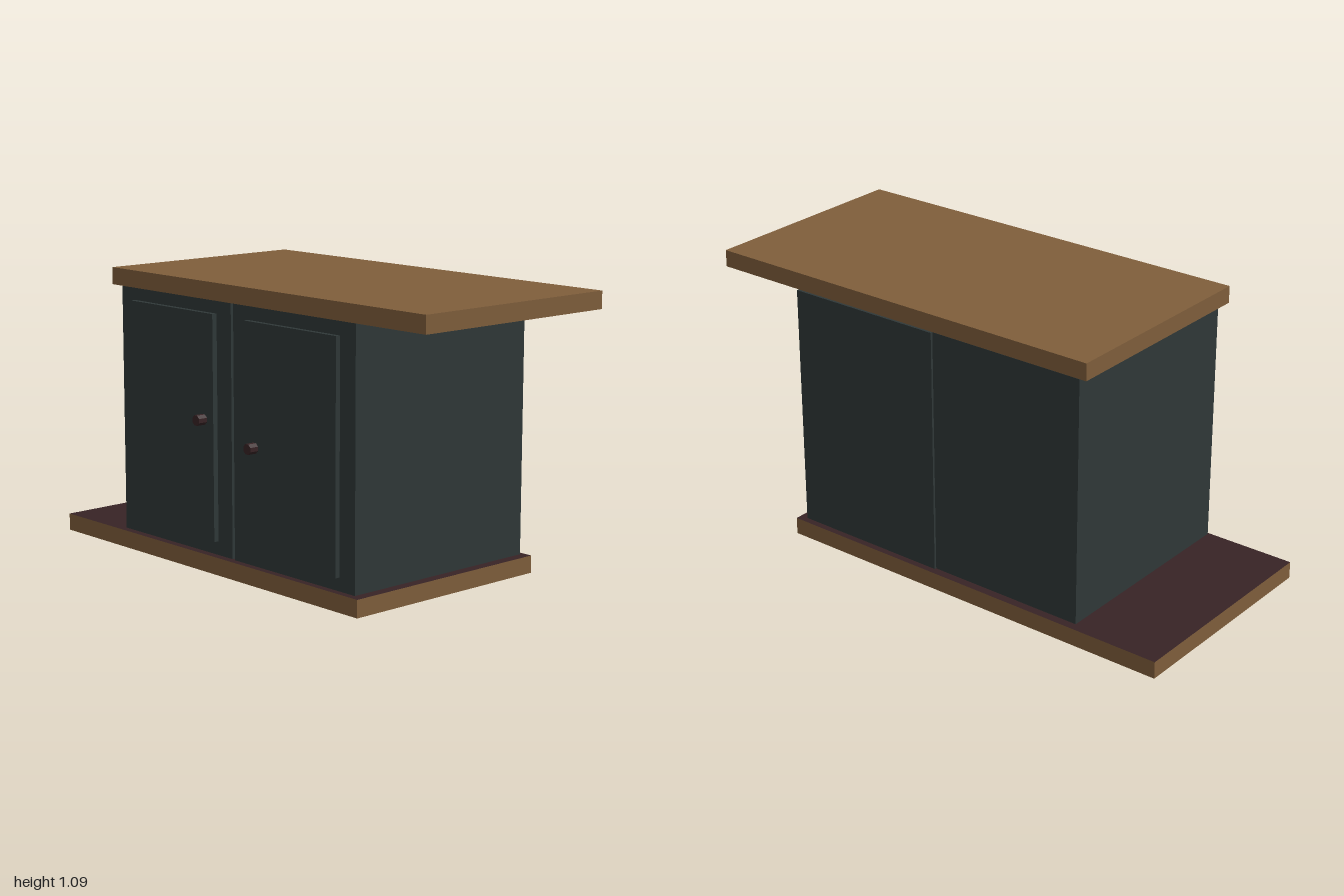
import * as THREE from 'three';

const mat = (name, color) => {
  const m = new THREE.MeshStandardMaterial({ color });
  m.name = name;
  return m;
};

export function createModel() {
  const wood = mat('wood', 0x7f5e3b);
  const darkWood = mat('dark wood', 0x372325);
  const paint = mat('dark green paint', 0x2f3838);

  // Box given by its limits on each axis
  const box = (name, [x0, x1], [y0, y1], [z0, z1], material) => {
    const mesh = new THREE.Mesh(new THREE.BoxGeometry(x1 - x0, y1 - y0, z1 - z0), material);
    mesh.position.set((x0 + x1) / 2, (y0 + y1) / 2, (z0 + z1) / 2);
    mesh.name = name;
    return mesh;
  };

  const model = new THREE.Group();
  model.name = 'cabinet';

  // Offset slabs, each dark on the face toward the cupboards
  model.add(
    box('baseSlab', [-1, 0.675], [0, 0.066], [-0.46, 0.421], [wood, wood, darkWood, wood, wood, wood]),
    box('topSlab', [-0.675, 1], [1.02, 1.085], [-0.438, 0.428], [wood, wood, wood, darkWood, wood, wood])
  );

  // Two cupboards, each with a raised door panel and a knob
  const cupboards = [
    { name: 'rightCupboard', x: [-0.645, -0.006], y: [0.072, 1.018], z: [-0.435, 0.405],
      doorX: [-0.567, -0.086], doorY: [0.124, 0.969], doorZ: 0.425, knob: [-0.141, 0.576], knobZ: 0.462 },
    { name: 'leftCupboard', x: [0, 0.64], y: [0.068, 1.014], z: [-0.437, 0.399],
      doorX: [0.08, 0.562], doorY: [0.118, 0.964], doorZ: 0.418, knob: [0.136, 0.511], knobZ: 0.454 },
  ];
  for (const c of cupboards) {
    const group = new THREE.Group();
    group.name = c.name;
    group.add(
      box('body', c.x, c.y, c.z, paint),
      box('doorPanel', c.doorX, c.doorY, [c.z[1] - 0.005, c.doorZ], paint)
    );
    // Eight-sided knob with flat sides facing up and down
    const depth = c.knobZ - c.doorZ + 0.004;
    const geometry = new THREE.CylinderGeometry(0.0205, 0.0205, depth, 8).toNonIndexed();
    geometry.rotateY(Math.PI / 8).rotateX(Math.PI / 2);
    geometry.computeVertexNormals();
    const knob = new THREE.Mesh(geometry, darkWood);
    knob.position.set(c.knob[0], c.knob[1], c.knobZ - depth / 2);
    knob.name = 'knob';
    group.add(knob);
    model.add(group);
  }
  return model;
}
